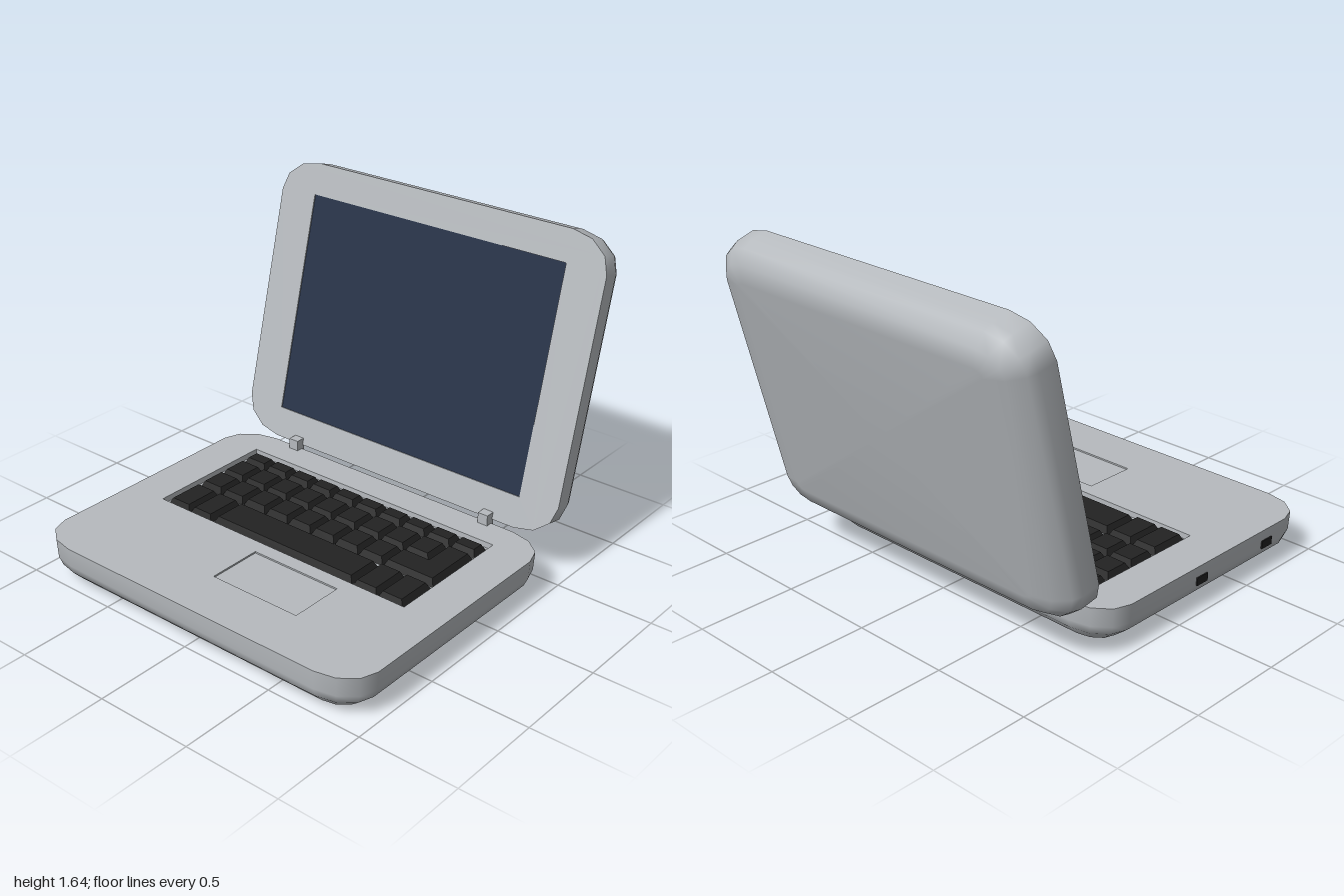
import * as THREE from 'three';

const grey = new THREE.MeshStandardMaterial({ name: 'casing grey', color: 0xb6babe });
const black = new THREE.MeshStandardMaterial({ name: 'key black', color: 0x222222 });
const navy = new THREE.MeshStandardMaterial({ name: 'screen navy', color: 0x243046 });

function add(parent, name, geometry, material, x = 0, y = 0, z = 0) {
  const mesh = new THREE.Mesh(geometry, material);
  mesh.name = name;
  mesh.position.set(x, y, z);
  parent.add(mesh);
  return mesh;
}

// Skin through rings of [x, z] points at given heights, closed by a cap on the last ring
function loft(rings, flat, centre) {
  const n = rings[0].points.length, pos = [], index = [];
  rings.forEach(r => r.points.forEach(([x, z]) => pos.push(x, r.y, z)));
  const last = rings[rings.length - 1];
  const c = centre ?? [0, 1].map(k => last.points.reduce((s, p) => s + p[k], 0) / n);
  pos.push(c[0], last.y, c[1]);
  for (let r = 0; r < rings.length; r++) {
    for (let i = 0; i < n; i++) {
      const a = r * n + i, b = r * n + (i + 1) % n;
      if (r < rings.length - 1) index.push(a, b, a + n, b, b + n, a + n);
      else index.push(a, b, rings.length * n);
    }
  }
  let geo = new THREE.BufferGeometry();
  geo.setAttribute('position', new THREE.Float32BufferAttribute(pos, 3));
  geo.setIndex(index);
  if (flat) geo = geo.toNonIndexed();
  geo.computeVertexNormals();
  return geo;
}

// Rounded rectangle, shrunk by k (0 = rim, 1 = flat bottom)
function outline(w, d, k) {
  const rx = 0.215 * (1 - 0.8 * k), rz = 0.17 * (1 - 0.8 * k);
  const cx = w / 2 - 0.2 * k - rx, cz = d / 2 - 0.155 * k - rz;
  const points = [];
  for (let q = 0; q < 4; q++) {
    const sx = q === 0 || q === 3 ? 1 : -1, sz = q < 2 ? 1 : -1;
    for (let i = 0; i < 4; i++) {
      const a = (q + i / 3) * Math.PI / 2;
      points.push([sx * cx + rx * Math.cos(a), sz * cz + rz * Math.sin(a)]);
    }
  }
  return points;
}

const rect = ([x0, x1, z0, z1], i = 0) =>
  [[x1 - i, z1 - i], [x1 - i, z0 + i], [x0 + i, z0 + i], [x0 + i, z1 - i]];

// Half shell with its open side closed by a face at y = 0, with sunken trays
function halfShell(name, w, d, trays) {
  const group = new THREE.Group();
  group.name = name;
  const profile = [[0, 0], [-0.095, 0.03], [-0.14, 0.13], [-0.195, 0.47], [-0.215, 1]];
  add(group, name + 'Shell', loft(profile.map(([y, k]) => ({ y, points: outline(w, d, k) }))), grey);
  const toShape = p => p.map(([x, z]) => new THREE.Vector2(x, -z));
  const shape = new THREE.Shape(toShape(outline(w, d, 0)));
  for (const t of trays) {
    shape.holes.push(new THREE.Path(toShape(rect(t.area))));
    const points = rect(t.area);
    add(group, t.name, loft([{ y: 0, points }, { y: -t.depth, points }], true), grey);
  }
  add(group, name + 'Face', new THREE.ShapeGeometry(shape).rotateX(-Math.PI / 2), grey);
  return group;
}

export function createModel() {
  const model = new THREE.Group();
  model.name = 'laptop';

  // Base with keyboard well and touchpad
  const zc = 0.2675, top = 0.215;
  const base = halfShell('base', 1.93, 1.465, [
    { name: 'keyboardWell', area: [-0.75, 0.75, -0.305 - zc, 0.38 - zc], depth: 0.03 },
    { name: 'touchpad', area: [-0.065, 0.43, 0.455 - zc, 0.735 - zc], depth: 0.008 },
  ]);
  base.position.set(0, top, zc);
  model.add(base);

  // Keys, tapered towards the top
  const keys = new THREE.Group();
  keys.name = 'keyboard';
  model.add(keys);
  const y0 = top - 0.03, y1 = top + 0.006, gap = 0.002, taper = 0.02;
  const key = (name, area) => add(keys, name, loft([
    { y: y0, points: rect(area, gap) }, { y: y1, points: rect(area, taper) }], true), black);
  const pitch = 0.146, col = i => -0.73 + i * pitch;
  const rows = [
    { z: [-0.285, -0.185], skip: [] },
    { z: [-0.177, -0.021], skip: [9] },
    { z: [-0.019, 0.138], skip: [8, 9] },
    { z: [0.148, 0.365], skip: [2, 3, 4, 5, 6, 7] },
  ];
  for (const { z, skip } of rows) {
    for (let i = 0; i < 10; i++) {
      if (!skip.includes(i)) key('key', [col(i), col(i + 1), ...z]);
    }
  }
  key('spaceBar', [col(2) + 0.005, col(8) - 0.005, 0.155, 0.355]);

  // L-shaped enter key
  const ell = i => [[0.73 - i, 0.138 - i], [0.73 - i, -0.177 + i], [col(9) + i, -0.177 + i],
    [col(9) + i, -0.019 + i], [col(8) + i, -0.019 + i], [col(8) + i, 0.138 - i]];
  add(keys, 'enterKey', loft([{ y: y0, points: ell(gap) }, { y: y1, points: ell(taper) }],
    true, [0.66, 0.06]), black);

  // Lid, leaning back, with the sunken screen
  const lean = 0.2475, d = 1.449;
  const screen = [-0.75, 0.75, -0.565, 0.57];
  const lid = halfShell('lid', 1.93, d, [{ name: 'screenRecess', area: screen, depth: 0.01 }]);
  lid.position.set(0, 0.9375, -0.6475);
  lid.rotation.x = Math.PI / 2 - lean;
  model.add(lid);
  add(lid, 'screen', new THREE.BoxGeometry(1.5, 0.004, 1.135), navy, 0, -0.008, 0.0025);

  // Hinges
  for (const side of [-1, 1]) {
    add(model, 'hinge', new THREE.BoxGeometry(0.055, 0.09, 0.05), grey, side * 0.6, 0.225, -0.455);
  }

  // Ports on the right-hand side
  for (const z of [0.2, 0.69]) {
    add(model, 'port', new THREE.BoxGeometry(0.009, 0.04, 0.075), black, -0.9635, 0.14, z);
  }
  return model;
}
